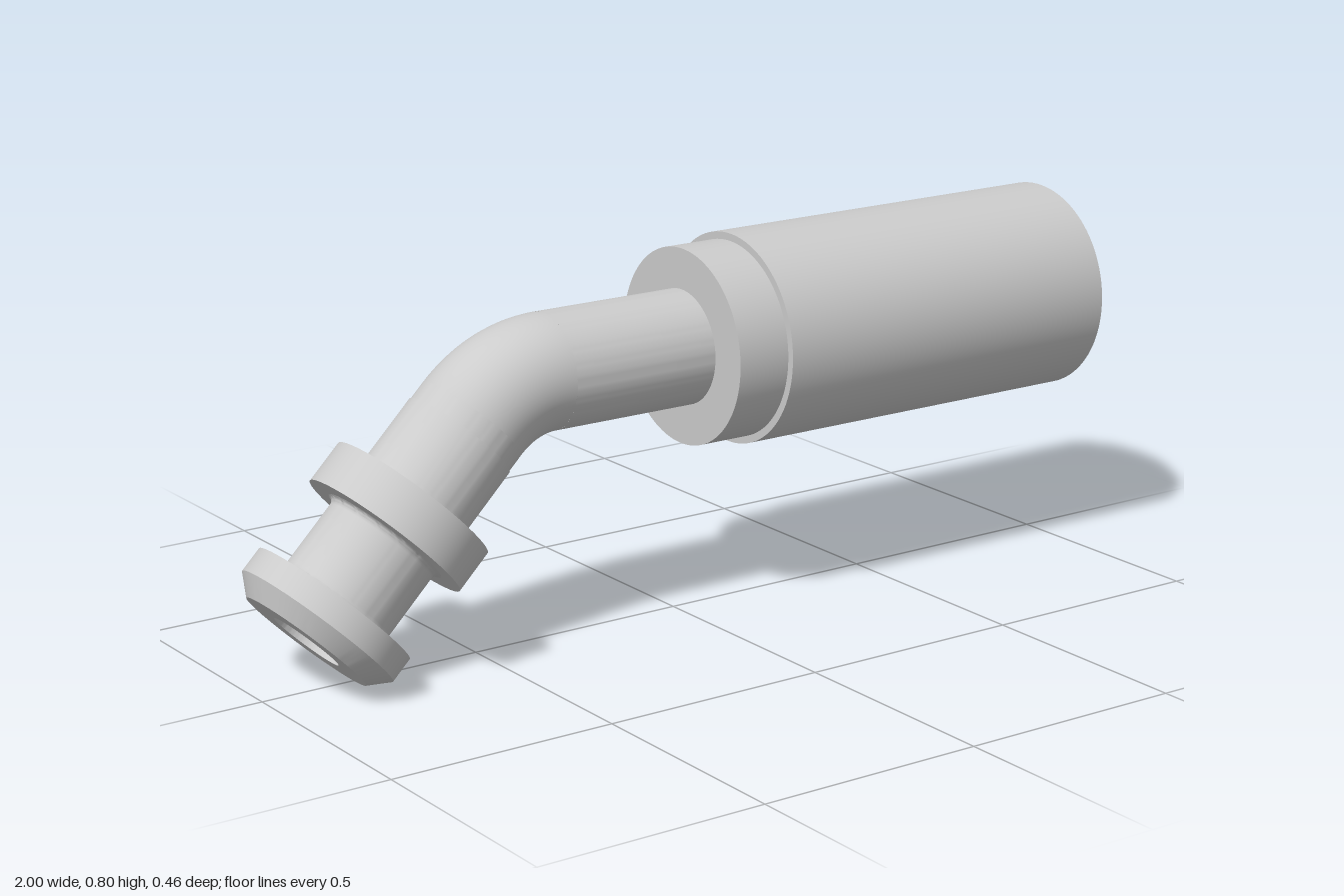
import * as THREE from 'three';
import { toCreasedNormals } from 'three/addons/utils/BufferGeometryUtils.js';

const AXIS_Y = 0.575;      // height of the straight axis
const CORNER_X = -0.427;   // where the straight and angled axes cross
const BEND_R = 0.25;
const TANGENT = BEND_R * Math.tan(Math.PI / 8);
const TUBE_R = 0.124, BORE_R = 0.08;

const material = new THREE.MeshStandardMaterial({ color: 0xcccccc, side: THREE.DoubleSide });

// Turned part: [radius, distance along axis] pairs
function turned(name, profile) {
  const points = profile.map(([r, d]) => new THREE.Vector2(r, d));
  const geometry = toCreasedNormals(new THREE.LatheGeometry(points, 96), 0.45);
  const mesh = new THREE.Mesh(geometry, material);
  mesh.name = name;
  return mesh;
}

// Quarter-round profile points between a neck at d0 and a flange face at d1
function fillet(d0, d1, r) {
  const size = Math.abs(d1 - d0);
  return [0, 1, 2, 3, 4].map((i) => {
    const a = (i / 4) * Math.PI / 2;
    return [r + size * (1 - Math.cos(a)), d0 + (d1 - d0) * Math.sin(a)];
  });
}

// 45 degree bend
function bend(name, radius) {
  const geometry = new THREE.TorusGeometry(BEND_R, radius, 64, 32, Math.PI / 4);
  geometry.rotateZ(Math.PI / 2);
  const mesh = new THREE.Mesh(geometry, material);
  mesh.position.set(CORNER_X + TANGENT, AXIS_Y - BEND_R, 0);
  mesh.name = name;
  return mesh;
}

export function createModel() {
  const model = new THREE.Group();
  model.name = 'hoseFitting';

  // Straight parts, measured along +x
  const straight = new THREE.Group();
  straight.name = 'hoseEnd';
  straight.position.y = AXIS_Y;
  straight.rotation.z = -Math.PI / 2;
  const bendStart = CORNER_X + TANGENT;
  straight.add(
    turned('straightTube', [[TUBE_R, bendStart], [TUBE_R, 0.03]]),
    turned('collar', [[0.118, 0.02], [0.212, 0.02], [0.212, 0.143]]),
    // Crimp sleeve with a tapering open cavity
    turned('sleeve', [[0.205, 0.143], [0.228, 0.143], [0.228, 1], [0.21, 1], [0.178, 0.2], [0.11, 0.2]]),
    // Inner hose nipple with a tapered tip and a through bore
    turned('nipple', [[0.118, 0.2], [0.118, 0.88], [0.095, 1], [BORE_R, 1], [BORE_R, bendStart]])
  );
  model.add(straight);

  // Elbow
  model.add(bend('elbow', TUBE_R), bend('elbowBore', BORE_R));

  // Angled end with its two flanges, measured down the slope from the corner
  const angled = new THREE.Group();
  angled.name = 'flangeEnd';
  angled.position.set(CORNER_X, AXIS_Y, 0);
  angled.rotation.z = Math.PI * 0.75;
  const neckR = 0.126, f = 0.014;
  angled.add(
    turned('angledTube', [[TUBE_R, TANGENT], [TUBE_R, 0.146], [neckR, 0.146], ...fillet(0.305 - f, 0.305, neckR)]),
    turned('middleFlange', [[neckR + f, 0.305], [0.187, 0.305], [0.187, 0.4], [neckR + f, 0.4]]),
    turned('neck', [...fillet(0.4 + f, 0.4, neckR).reverse(), ...fillet(0.57 - f, 0.57, neckR)]),
    // End flange with chamfered rim and bore
    turned('endFlange', [[neckR + f, 0.57], [0.187, 0.57], [0.187, 0.626], [0.148, 0.664],
      [BORE_R, 0.664], [BORE_R, TANGENT]])
  );
  model.add(angled);
  return model;
}
